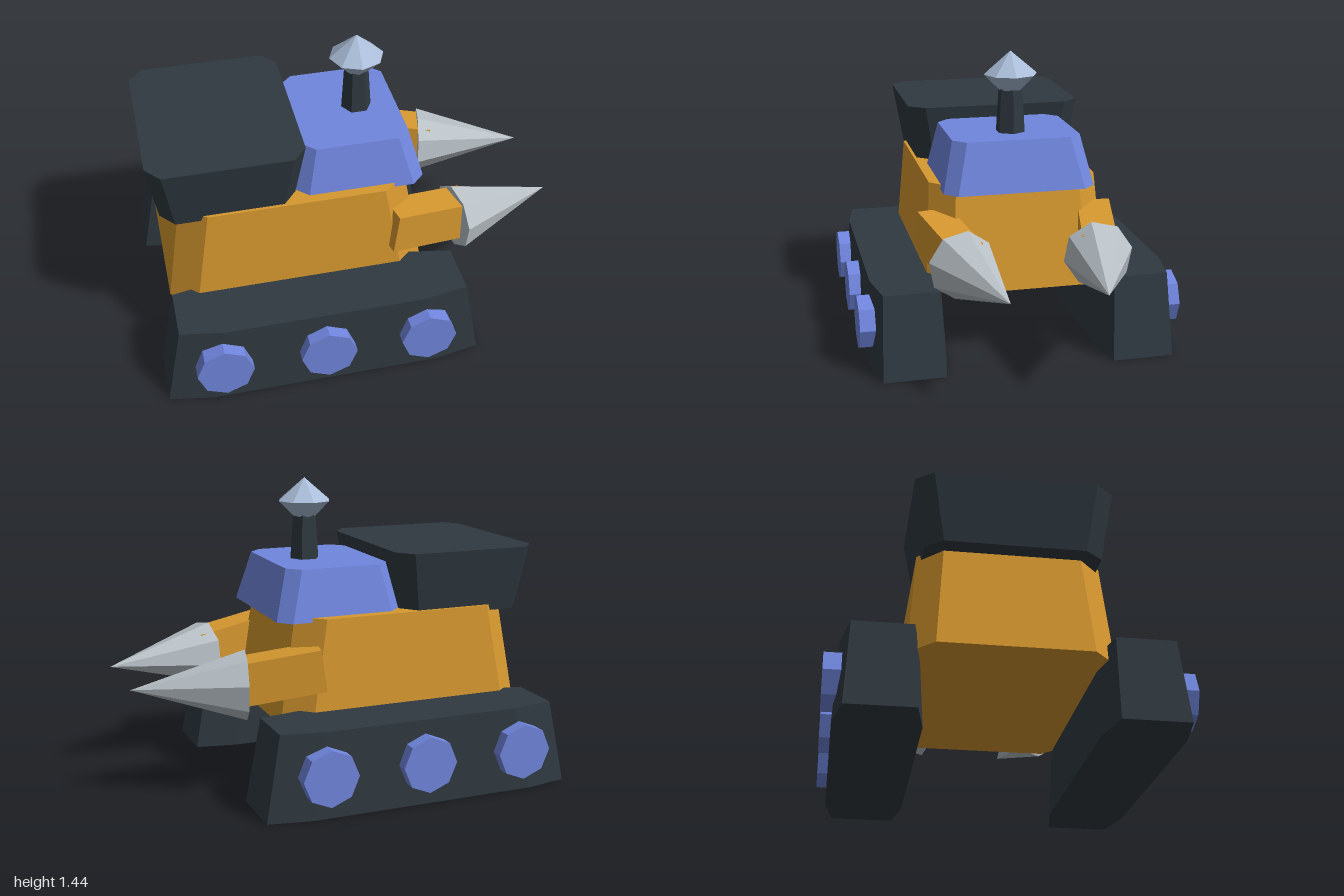
import * as THREE from 'three';

const paint = (name, color) => {
  const m = new THREE.MeshStandardMaterial({ color });
  m.name = name;
  m.flatShading = true;
  return m;
};

// Rectangle with cut corners: [x0, x1, z0, z1], corner cuts cx and cz
const outline = ([x0, x1, z0, z1], cx, cz) => [
  [x1, z0 + cz], [x1, z1 - cz], [x1 - cx, z1], [x0 + cx, z1],
  [x0, z1 - cz], [x0, z0 + cz], [x0 + cx, z0], [x1 - cx, z0],
];

// Tapered block between a lower and an upper cut-corner rectangle
function taperedBlock(y0, y1, lower, upper, cx, cz) {
  const at = (pts, y) => pts.map(([x, z]) => [x, y, z]);
  const b = at(outline(lower, cx, cz), y0);
  const t = at(outline(upper, cx, cz), y1);
  const pos = [];
  const tri = (...p) => p.forEach((v) => pos.push(...v));
  for (let i = 0; i < 8; i++) {
    const j = (i + 1) % 8;
    tri(b[i], t[i], b[j]);
    tri(t[i], t[j], b[j]);
    if (i > 0 && i < 7) {
      tri(t[0], t[j], t[i]);
      tri(b[0], b[i], b[j]);
    }
  }
  const g = new THREE.BufferGeometry();
  g.setAttribute('position', new THREE.Float32BufferAttribute(pos, 3));
  g.computeVertexNormals();
  return g;
}

export function createModel() {
  const model = new THREE.Group();
  model.name = 'drillVehicle';
  const dark = paint('darkSlate', 0x2f3940);
  const orange = paint('orange', 0xd6982f);
  const blue = paint('blue', 0x7086de);
  const steel = paint('steel', 0xb9c1c7);
  const crystal = paint('paleBlue', 0xaabdd8);

  const add = (name, geometry, material, x = 0, y = 0, z = 0) => {
    const mesh = new THREE.Mesh(geometry, material);
    mesh.name = name;
    mesh.position.set(x, y, z);
    model.add(mesh);
    return mesh;
  };

  // Hull, cabin and rear cargo box
  add('hull', taperedBlock(0.325, 0.83, [-0.925, 0.32, -0.445, 0.445],
    [-0.84, 0.235, -0.41, 0.41], 0.12, 0.11), orange);
  add('cabin', taperedBlock(0.81, 1.05, [-0.3, 0.325, -0.365, 0.365],
    [-0.25, 0.26, -0.31, 0.31], 0.06, 0.06), blue);
  add('cargoBox', taperedBlock(0.8, 1.11, [-0.93, -0.3, -0.39, 0.39],
    [-0.975, -0.25, -0.44, 0.44], 0.065, 0.08), dark);

  // Antenna on the cabin roof
  const stem = add('antennaStem', new THREE.CylinderGeometry(0.057, 0.074, 0.26, 6), dark, 0.07, 1.16, 0);
  stem.rotation.y = Math.PI / 6;
  add('antennaGemTop', new THREE.CylinderGeometry(0, 0.13, 0.11, 8, 1, true), crystal, 0.07, 1.385, 0);
  add('antennaGemBase', new THREE.CylinderGeometry(0.13, 0.05, 0.08, 8), crystal, 0.07, 1.29, 0);

  for (const s of [1, -1]) {
    const side = s > 0 ? 'left' : 'right';
    const span = (a, b) => (s > 0 ? [a, b] : [-b, -a]);

    // Track and its wheels
    add(side + 'Track', taperedBlock(0, 0.4, [-1, 0.52, ...span(0.37, 0.74)],
      [-0.92, 0.45, ...span(0.385, 0.722)], 0.21, 0.037), dark);
    for (const x of [-0.73, -0.24, 0.245]) {
      const wheel = add(side + 'Wheel', new THREE.CylinderGeometry(0.133, 0.133, 0.13, 8), blue, x, 0.202, s * 0.722);
      wheel.rotation.x = Math.PI / 2;
    }

    // Arm angled forward and inward
    const start = new THREE.Vector3(0.14, 0.605, s * 0.4);
    const end = new THREE.Vector3(0.535, 0.548, s * 0.315);
    const arm = add(side + 'Arm', new THREE.BoxGeometry(0.16, 0.2, start.distanceTo(end)), orange);
    arm.position.copy(start).lerp(end, 0.5);
    arm.lookAt(end);

    // Drill cone
    const base = new THREE.Vector3(0.485, 0.535, s * 0.325);
    const tip = new THREE.Vector3(1, 0.535, s * 0.215);
    const drill = add(side + 'Drill', new THREE.ConeGeometry(0.163, base.distanceTo(tip), 8), steel);
    drill.position.copy(base).lerp(tip, 0.5);
    drill.quaternion.setFromUnitVectors(new THREE.Vector3(0, 1, 0), tip.clone().sub(base).normalize());
  }
  return model;
}
